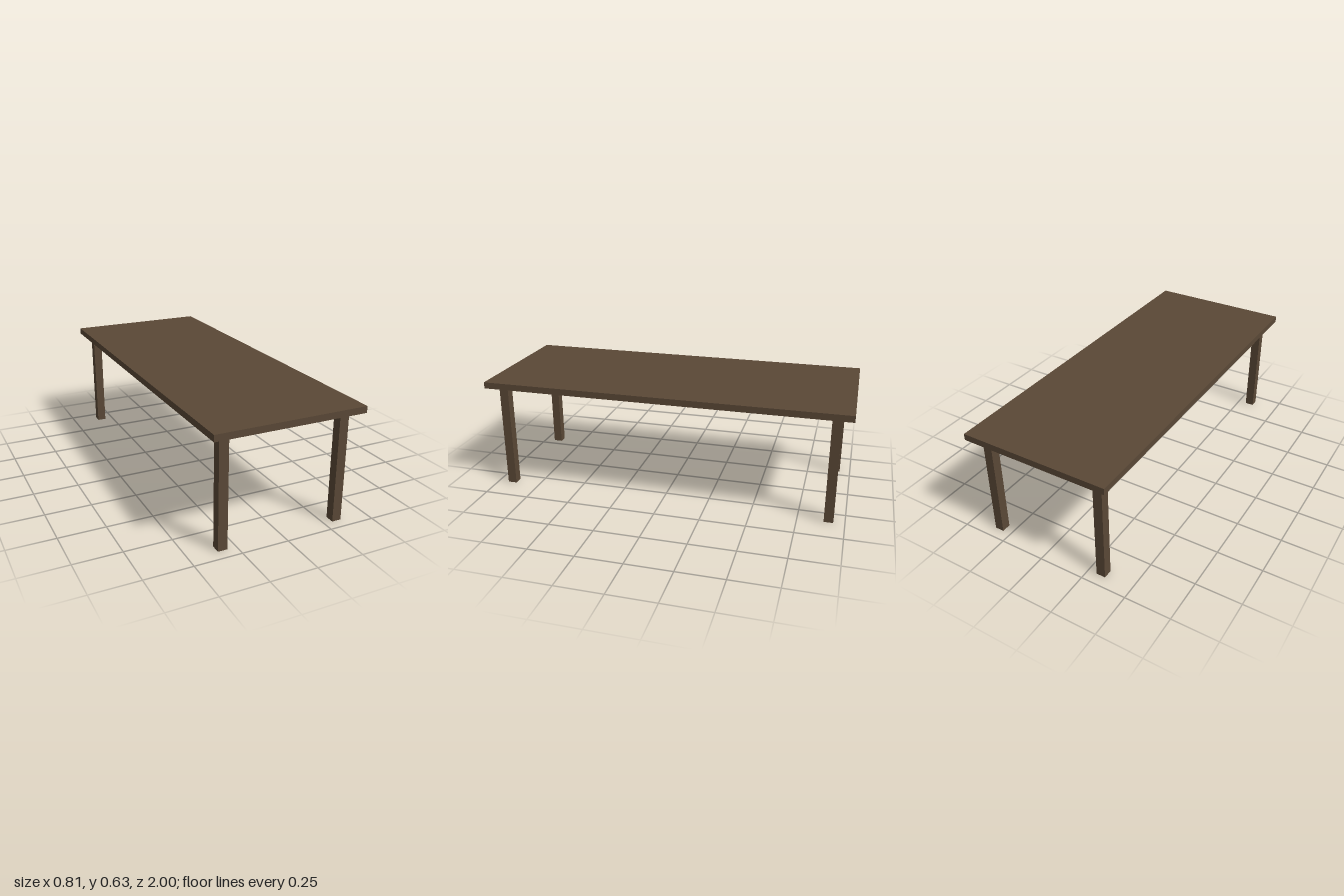
import * as THREE from 'three';

const TOP_Y = 0.629, THICKNESS = 0.035, LEG = 0.05;

export function createModel() {
  const table = new THREE.Group();
  table.name = 'table';
  const wood = new THREE.MeshStandardMaterial({ color: 0x5a4836 });
  wood.name = 'dark brown wood';

  const addBox = (name, w, h, d, x, y, z) => {
    const mesh = new THREE.Mesh(new THREE.BoxGeometry(w, h, d), wood);
    mesh.name = name;
    mesh.position.set(x, y, z);
    table.add(mesh);
  };

  // Flat slab top
  addBox('tabletop', 0.81, THICKNESS, 2, 0, TOP_Y - THICKNESS / 2, 0);

  // Four square legs, inset from the corners
  const legHeight = TOP_Y - THICKNESS;
  for (const [side, sx] of [['Left', 1], ['Right', -1]]) {
    for (const [end, sz] of [['front', 1], ['back', -1]]) {
      addBox(`${end}${side}Leg`, LEG, legHeight, LEG, sx * 0.324, legHeight / 2, sz * 0.915);
    }
  }
  return table;
}
